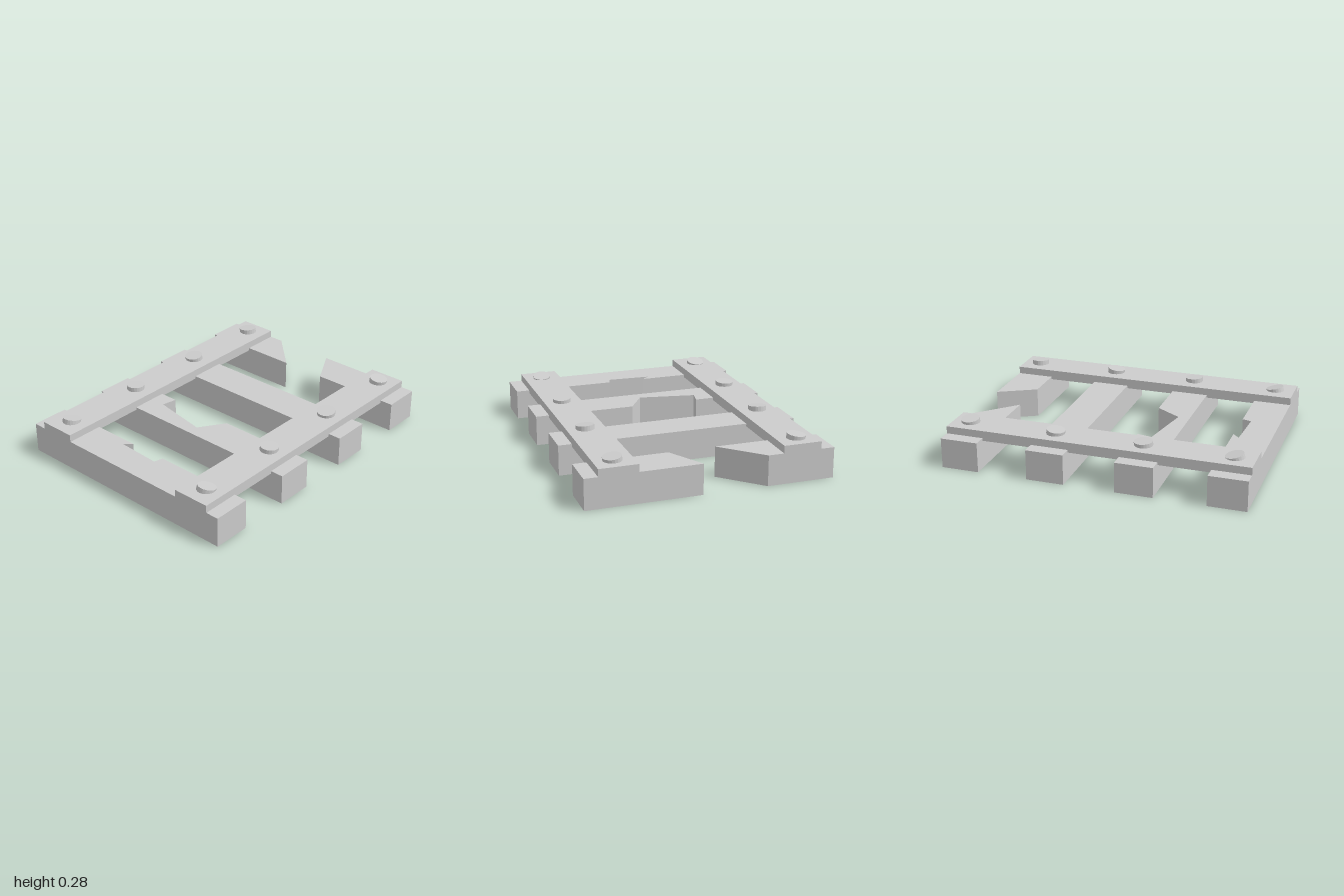
import * as THREE from 'three';

const material = new THREE.MeshStandardMaterial({ color: 0xcccccc, flatShading: true });

function add(group, name, geometry) {
  const mesh = new THREE.Mesh(geometry, material);
  mesh.name = name;
  group.add(mesh);
  return mesh;
}

// Plank outline given as [x, z] corners, extruded from the ground up
function plankGeometry(outline, height) {
  const shape = new THREE.Shape(outline.map(([x, z]) => new THREE.Vector2(x, z)));
  return new THREE.ExtrudeGeometry(shape, { depth: height, bevelEnabled: false })
    .rotateX(Math.PI / 2)
    .translate(0, height, 0);
}

export function createModel() {
  const group = new THREE.Group();
  group.name = 'brokenTrack';

  // Cross planks, some snapped or splintered
  const planks = {
    frontPlank: [[-0.8, 1], [-0.8, 0.75], [-0.145, 0.75], [-0.19, 0.795], [0.1, 0.81],
      [0.115, 0.75], [0.8, 0.75], [0.8, 1]],
    notchedPlank: [[-0.8, 0.413], [-0.8, 0.165], [-0.335, 0.165], [-0.355, 0.265], [0.02, 0.335],
      [0.13, 0.165], [0.8, 0.165], [0.8, 0.413]],
    wholePlank: [[-0.8, -0.17], [-0.8, -0.418], [0.8, -0.418], [0.8, -0.17]],
    snappedPlankRight: [[-0.8, -0.75], [-0.8, -1], [-0.36, -1], [-0.11, -0.75]],
    snappedPlankLeft: [[0.195, -0.75], [0.06, -1], [0.8, -1], [0.8, -0.75]],
  };
  for (const [name, outline] of Object.entries(planks)) {
    add(group, name, plankGeometry(outline, 0.2));
  }

  // Bolts along each rail: z position, tilt forward or back, tilt sideways
  const bolts = [
    [0.867, -0.24, 0.06],
    [0.287, -0.06, 0.04],
    [-0.295, 0.12, 0.03],
    [-0.885, -0.04, 0.12],
  ];
  for (const side of [-1, 1]) {
    const label = side > 0 ? 'left' : 'right';

    // Long rail let slightly into the planks
    add(group, label + 'Rail', new THREE.BoxGeometry(0.25, 0.067, 2))
      .position.set(side * 0.587, 0.2155, 0);

    bolts.forEach(([z, tiltX, tiltZ], i) => {
      const bolt = add(group, label + 'Bolt' + (i + 1), new THREE.CylinderGeometry(0.06, 0.06, 0.04, 20));
      bolt.position.set(side * 0.592, i === 0 ? 0.247 : 0.255, z);
      bolt.rotation.set(tiltX, 0, -side * tiltZ);
    });
  }
  return group;
}
